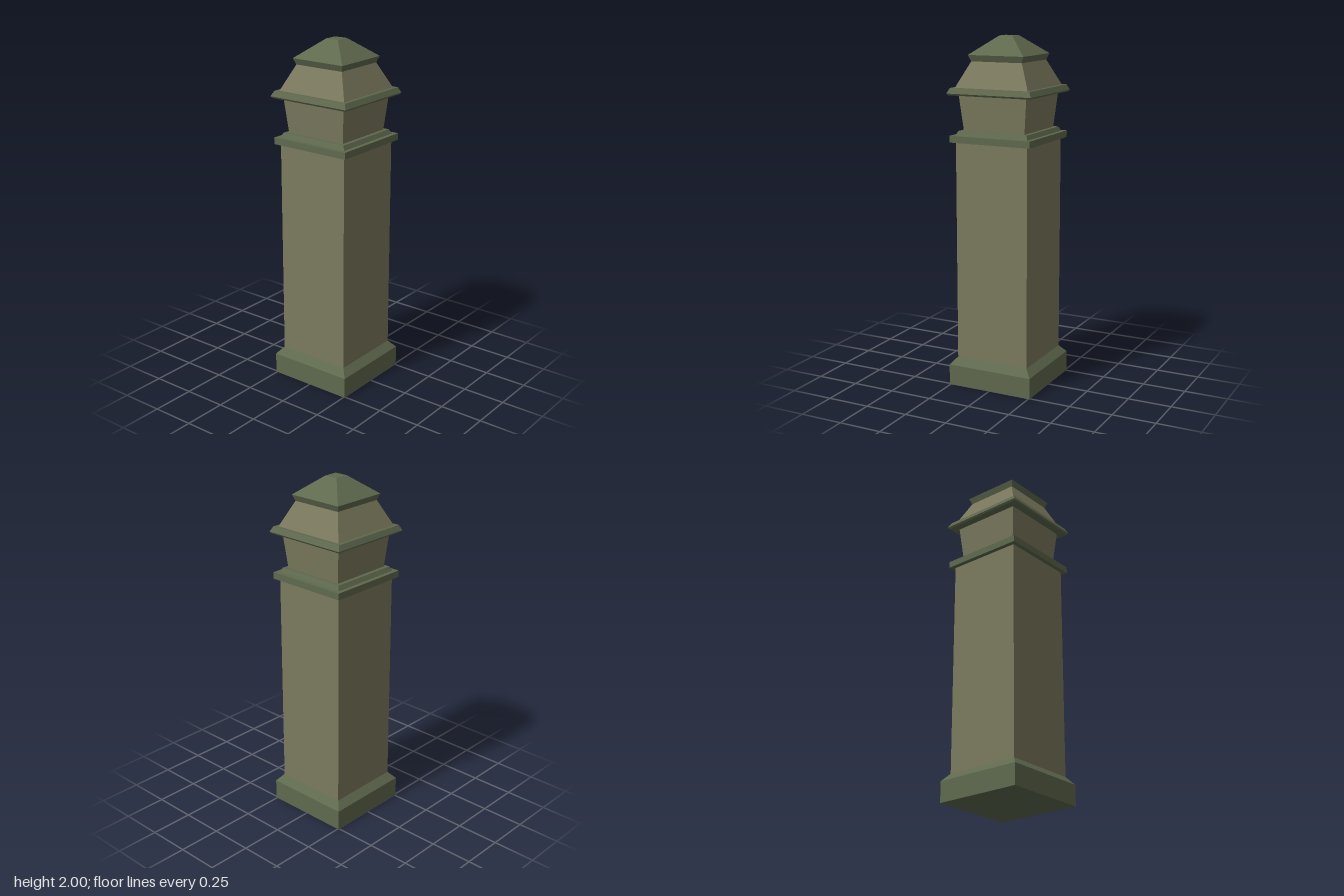
import * as THREE from 'three';

const stone = new THREE.MeshStandardMaterial({ color: 0x7b7a5e, flatShading: true });
const trim = new THREE.MeshStandardMaterial({ color: 0x5f694e, flatShading: true });

// Square solid of revolution: profile is a list of [half width, height], bottom to top
function squareStack(name, material, profile) {
  const points = [
    [0, profile[0][1]],
    ...profile,
    [0, profile[profile.length - 1][1]],
  ].map(([half, y]) => new THREE.Vector2(half * Math.SQRT2, y));
  const geometry = new THREE.LatheGeometry(points, 4, Math.PI / 4);
  const mesh = new THREE.Mesh(geometry, material);
  mesh.name = name;
  return mesh;
}

export function createModel() {
  const pillar = new THREE.Group();
  pillar.name = 'pillar';
  pillar.add(
    // plinth with sloped shoulder
    squareStack('base', trim, [[0.257, 0], [0.257, 0.12], [0.22, 0.163]]),
    squareStack('shaft', stone, [[0.22, 0.163], [0.22, 1.418]]),
    // stepped collar above the shaft
    squareStack('collar', trim, [[0.246, 1.418], [0.246, 1.456], [0.222, 1.456], [0.209, 1.481]]),
    // neck flaring upward
    squareStack('neck', stone, [[0.187, 1.481], [0.207, 1.68]]),
    squareStack('cornice', trim, [[0.25, 1.68], [0.257, 1.69], [0.242, 1.72]]),
    // two-stage roof
    squareStack('lowerRoof', stone, [[0.222, 1.72], [0.155, 1.862]]),
    squareStack('cap', trim, [[0.155, 1.862], [0.169, 1.897], [0.04, 2]]),
  );
  return pillar;
}
